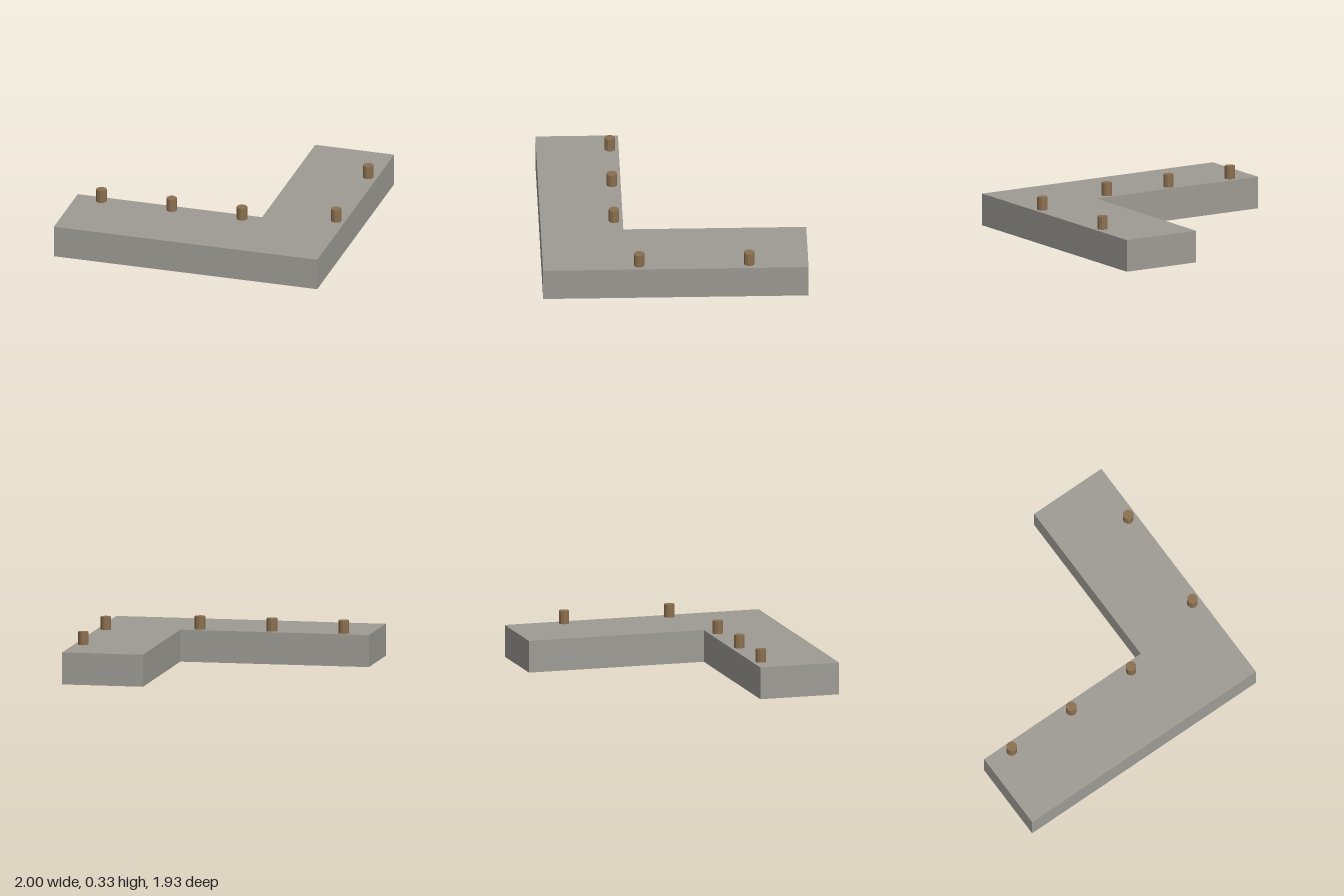
import * as THREE from 'three';

export function createModel() {
  const model = new THREE.Group();
  const stone = new THREE.MeshStandardMaterial({ color: 0x9e9b94, flatShading: true });
  const wood = new THREE.MeshStandardMaterial({ color: 0x8b6f4e, flatShading: true });
  const deckY = 0.235, postHeight = 0.095, postRadius = 0.039;

  // L-shaped platform, drawn in plan (shape y = -z) and extruded upwards
  const plan = new THREE.Shape([
    [-1, -0.965], [1, -0.965], [1, 0.965], [0.4, 0.965], [0.4, -0.365], [-1, -0.365],
  ].map(([x, y]) => new THREE.Vector2(x, y)));
  const slab = new THREE.ExtrudeGeometry(plan, { depth: deckY, bevelEnabled: false });
  slab.rotateX(-Math.PI / 2);
  const platform = new THREE.Mesh(slab, stone);
  platform.name = 'platform';
  model.add(platform);

  // Mooring posts: three on the front arm, two on the side arm
  const postGeometry = new THREE.CylinderGeometry(postRadius, postRadius, postHeight, 10);
  const posts = new THREE.Group();
  posts.name = 'mooringPosts';
  const spots = [[-0.8, 0.43], [-0.267, 0.43], [0.267, 0.43], [0.933, 0.265], [0.933, -0.535]];
  spots.forEach(([x, z], i) => {
    const post = new THREE.Mesh(postGeometry, wood);
    post.name = `mooringPost${i + 1}`;
    post.position.set(x, deckY + postHeight / 2, z);
    posts.add(post);
  });
  model.add(posts);

  return model;
}
